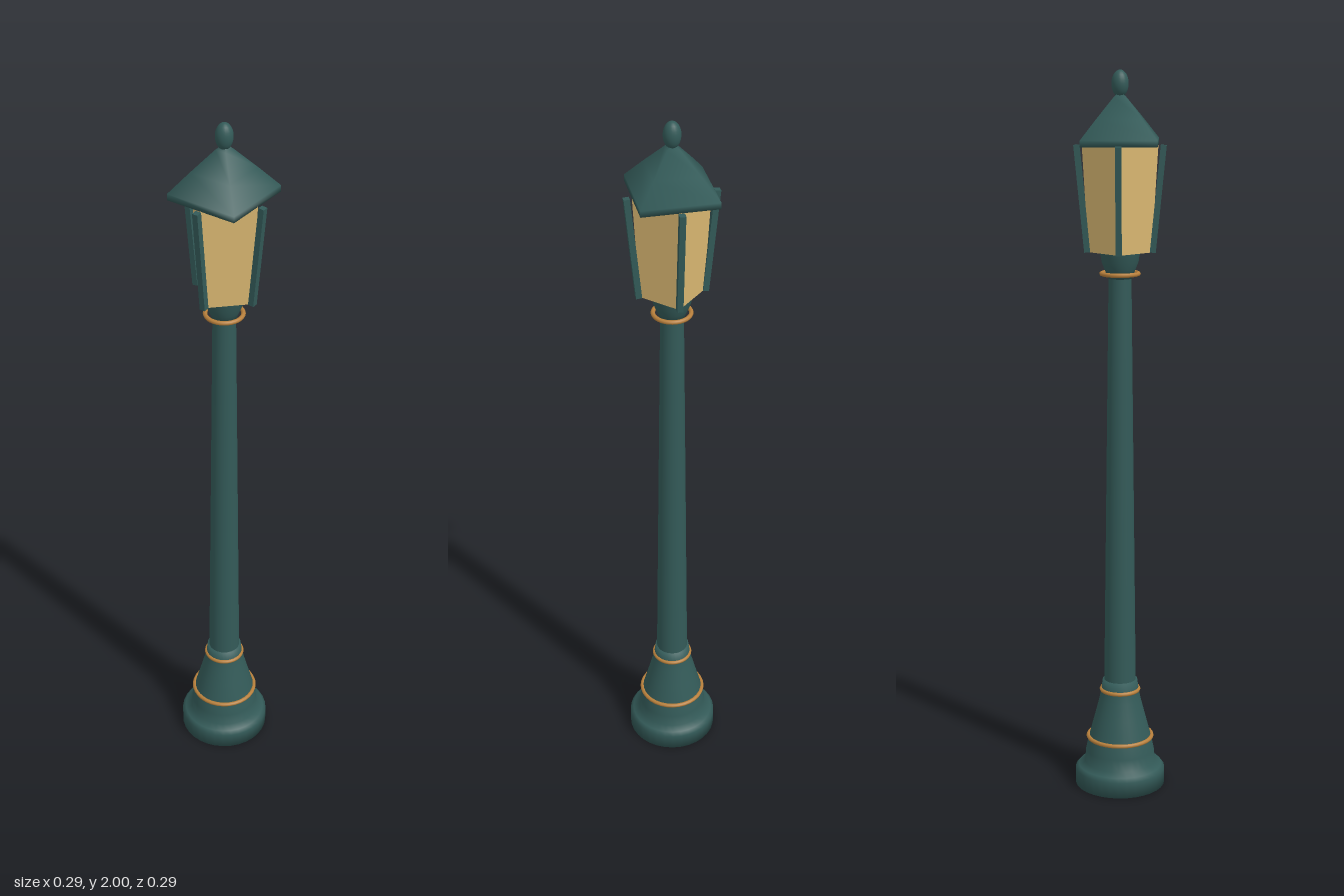
import * as THREE from 'three';

export function createModel() {
  const model = new THREE.Group();
  model.name = 'streetLamp';

  const material = (name, color) => {
    const m = new THREE.MeshStandardMaterial({ color });
    m.name = name;
    return m;
  };
  const iron = material('green iron', 0x335a58);
  const brass = material('brass', 0xb8803c);
  const glass = material('warm glass', 0xdab872);

  const add = (name, geometry, mat, y = 0) => {
    const mesh = new THREE.Mesh(geometry, mat);
    mesh.name = name;
    mesh.position.y = y;
    model.add(mesh);
    return mesh;
  };
  const lathe = (points, sides) =>
    new THREE.LatheGeometry(points.map(([r, y]) => new THREE.Vector2(r, y)), sides);

  // Flared foot
  add('base', lathe([
    [0, 0], [0.127, 0], [0.127, 0.045], [0.118, 0.056], [0.1, 0.066], [0.097, 0.1],
    [0.088, 0.14], [0.072, 0.2], [0.059, 0.25], [0.053, 0.28], [0.049, 0.31], [0, 0.31],
  ], 32), iron);

  // Tapering pole
  add('pole', new THREE.CylinderGeometry(0.031, 0.045, 1.17, 20), iron, 0.885);

  // Collar under the lantern
  add('collar', lathe([
    [0, 1.45], [0.032, 1.45], [0.042, 1.475], [0.05, 1.495], [0.052, 1.51],
    [0.056, 1.52], [0.056, 1.53], [0, 1.53],
  ], 24), iron);

  // Brass rings
  for (const [name, radius, y] of [
    ['lowerRing', 0.09, 0.14], ['upperRing', 0.052, 0.28], ['collarRing', 0.05, 1.463],
  ]) {
    add(name, new THREE.TorusGeometry(radius, 0.006, 8, 32).rotateX(Math.PI / 2), brass, y);
  }

  // Square glass body, narrower at the bottom
  const body = new THREE.CylinderGeometry(0.072 * Math.SQRT2, 0.06 * Math.SQRT2, 0.285, 4)
    .rotateY(Math.PI / 4).toNonIndexed();
  body.computeVertexNormals();
  add('lanternGlass', body, glass, 1.6625);

  // Leaning corner bars
  const top = new THREE.Vector3(0, 1.805, 0.116);
  const bottom = new THREE.Vector3(0, 1.52, 0.088);
  const lean = Math.atan2(top.z - bottom.z, top.y - bottom.y);
  for (let i = 0; i < 4; i++) {
    const bar = new THREE.BoxGeometry(0.016, top.distanceTo(bottom), 0.016)
      .rotateX(lean)
      .translate(0, (top.y + bottom.y) / 2, (top.z + bottom.z) / 2)
      .rotateY(Math.PI / 4 + i * Math.PI / 2);
    add('cornerBar' + (i + 1), bar, iron);
  }

  // Four-sided roof with its corners on the axes
  add('roof', lathe([
    [0, 1.803], [0.143, 1.803], [0.143, 1.82], [0.085, 1.874], [0.022, 1.93], [0, 1.945],
  ], 4), iron);

  // Finial
  add('finial', new THREE.SphereGeometry(0.023, 20, 14).scale(1, 1.55, 1), iron, 1.9645);

  return model;
}
